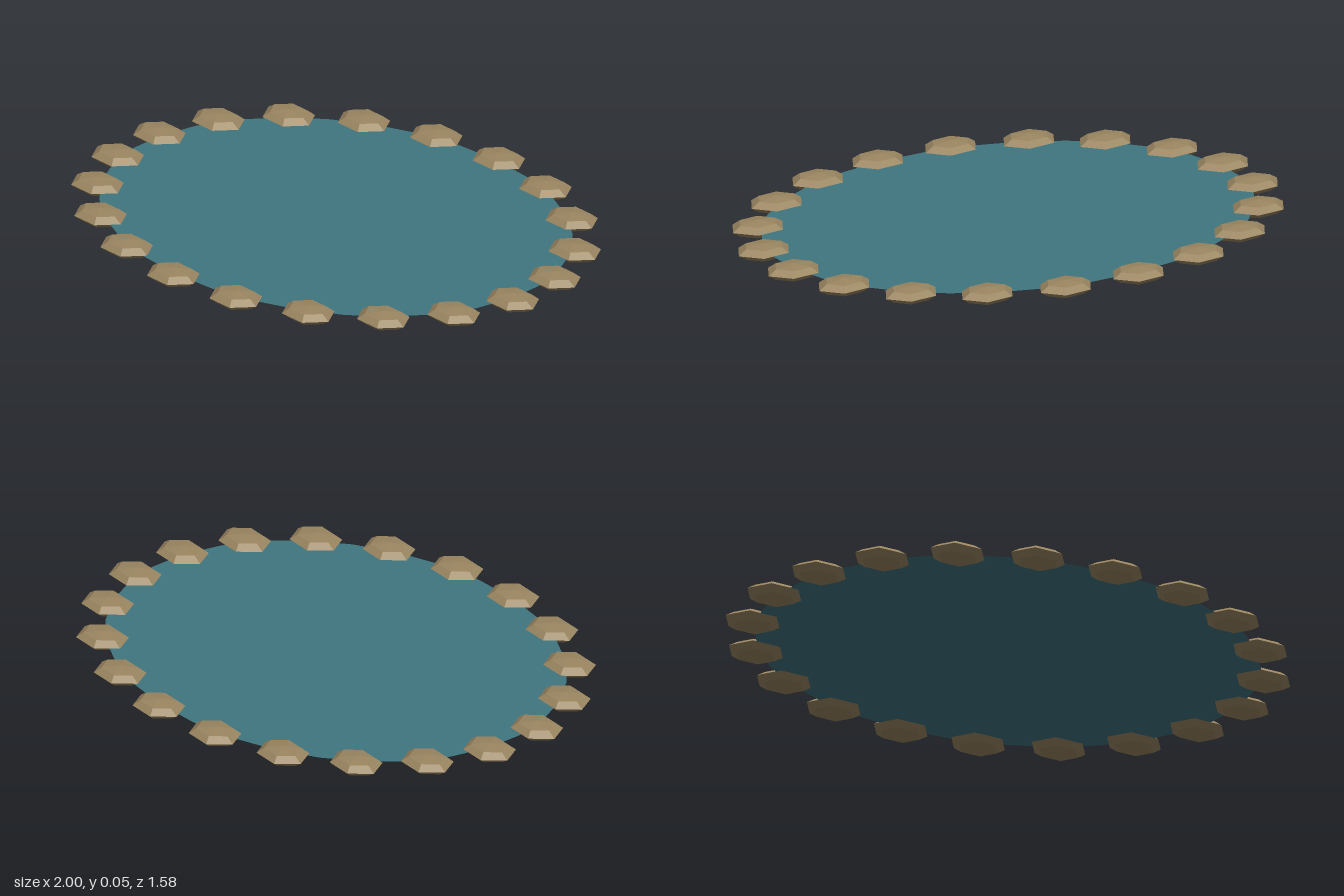
import * as THREE from 'three';

const STONES = 20;
const DEPTH = 0.8;       // oval squash along z
const MID = 0.026;       // half the height of a stone

export function createModel() {
  const pond = new THREE.Group();
  pond.name = 'pond';

  // Oval sheet of water
  const water = new THREE.Mesh(
    new THREE.CircleGeometry(0.885, 32).rotateX(-Math.PI / 2).scale(1, 1, DEPTH),
    new THREE.MeshStandardMaterial({ color: 0x3f7680, side: THREE.DoubleSide })
  );
  water.name = 'water';
  water.position.y = MID;
  pond.add(water);

  // Ring of flattened six-sided stones, all facing the same way
  const stoneGeometry = new THREE.SphereGeometry(1, 6, 4).scale(0.103, MID, 0.103 * DEPTH);
  const stoneMaterial = new THREE.MeshStandardMaterial({ color: 0x9a8560, flatShading: true });
  const rim = new THREE.Group();
  rim.name = 'stoneRim';
  for (let i = 0; i < STONES; i++) {
    const angle = (i / STONES) * Math.PI * 2;
    const stone = new THREE.Mesh(stoneGeometry, stoneMaterial);
    stone.name = 'stone';
    stone.position.set(Math.cos(angle) * 0.897, MID, Math.sin(angle) * 0.897 * DEPTH);
    rim.add(stone);
  }
  pond.add(rim);

  return pond;
}
